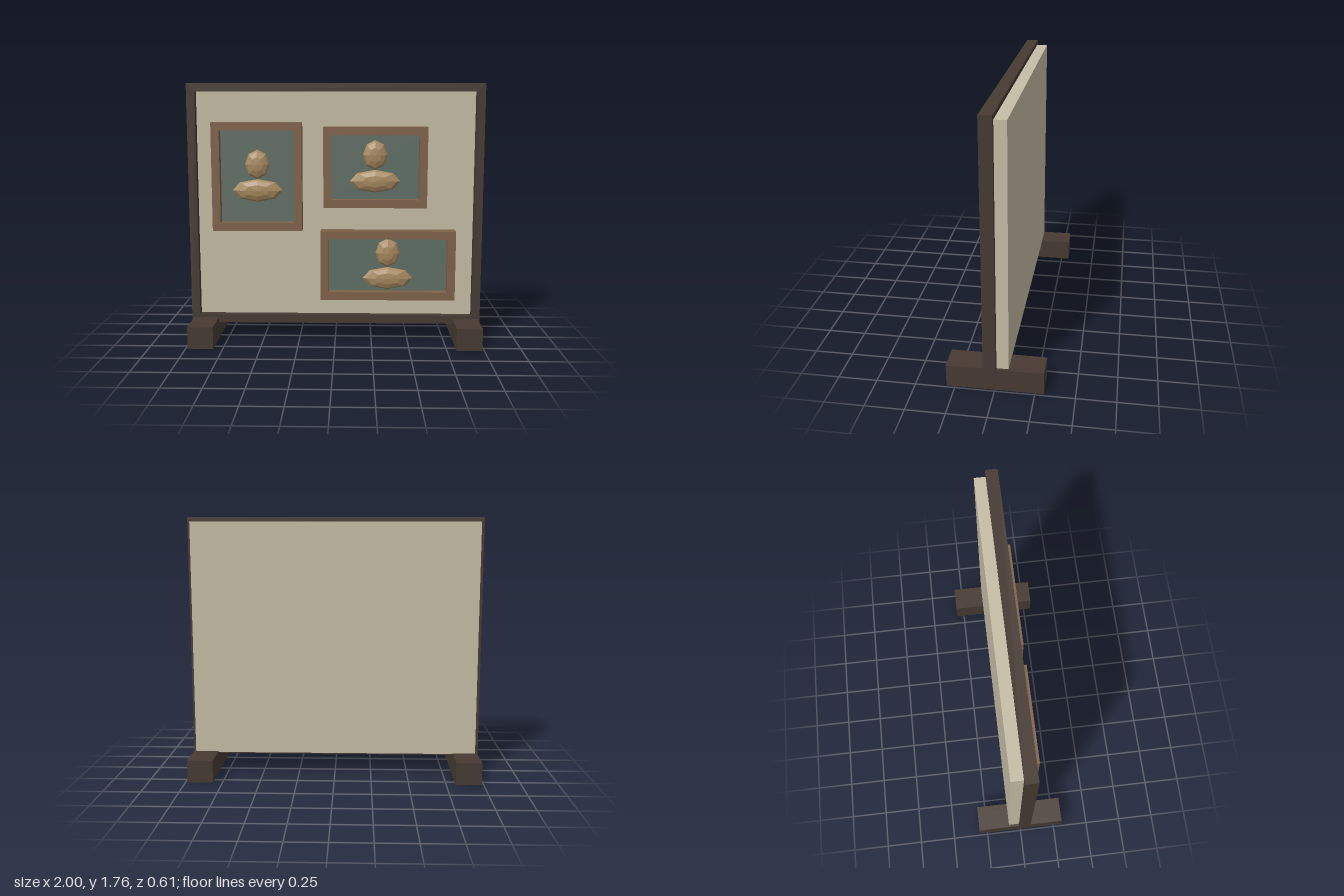
import * as THREE from 'three';

const mat = (color) => new THREE.MeshStandardMaterial({ color, flatShading: true });
const DARK = mat(0x463a32);
const BOARD = mat(0xc6bda6);
const WOOD = mat(0x7f6249);
const CANVAS = mat(0x5f6f65);
const TAN = mat(0xa88a60);

// Box given by its minimum and maximum corners
function box(name, material, [x0, y0, z0], [x1, y1, z1]) {
  const mesh = new THREE.Mesh(new THREE.BoxGeometry(x1 - x0, y1 - y0, z1 - z0), material);
  mesh.position.set((x0 + x1) / 2, (y0 + y1) / 2, (z0 + z1) / 2);
  mesh.name = name;
  return mesh;
}

// Rectangular frame with an opening, extruded from z0 to z1
function frame(name, material, x0, y0, x1, y1, bar, z0, z1) {
  const rect = (path, d) => path
    .moveTo(x0 + d, y0 + d).lineTo(x1 - d, y0 + d)
    .lineTo(x1 - d, y1 - d).lineTo(x0 + d, y1 - d).closePath();
  const shape = new THREE.Shape();
  rect(shape, 0);
  const hole = new THREE.Path();
  rect(hole, bar);
  shape.holes.push(hole);
  const geometry = new THREE.ExtrudeGeometry(shape, { depth: z1 - z0, bevelEnabled: false });
  geometry.translate(0, 0, z0);
  const mesh = new THREE.Mesh(geometry, material);
  mesh.name = name;
  return mesh;
}

// Low-poly flattened ellipsoid
function blob(name, x, y, z, rx, ry, rz) {
  const mesh = new THREE.Mesh(new THREE.SphereGeometry(1, 8, 6).rotateX(Math.PI / 2), TAN);
  mesh.scale.set(rx, ry, rz);
  mesh.position.set(x, y, z);
  mesh.name = name;
  return mesh;
}

// Framed portrait: wooden frame, recessed canvas, head and shoulders
function portrait(x0, y0, x1, y1) {
  const group = new THREE.Group();
  group.name = 'portrait';
  const bar = 0.055;
  const cx = (x0 + x1) / 2;
  const cy = (y0 + y1) / 2;
  group.add(
    frame('portraitFrame', WOOD, x0, y0, x1, y1, bar, 0.02, 0.105),
    box('canvas', CANVAS, [x0 + bar, y0 + bar, 0.02], [x1 - bar, y1 - bar, 0.045]),
    blob('head', cx, cy + 0.083, 0.055, 0.084, 0.1, 0.035),
    blob('shoulders', cx, cy - 0.095, 0.055, 0.172, 0.078, 0.035)
  );
  return group;
}

export function createModel() {
  const model = new THREE.Group();
  model.name = 'displayBoard';

  // Board and its surround
  model.add(
    box('boardPanel', BOARD, [-0.97, 0.145, -0.085], [0.97, 1.735, 0.02]),
    frame('boardFrame', DARK, -1, 0.115, 1, 1.765, 0.057, -0.01, 0.07)
  );

  // Feet
  for (const [name, x] of [['leftFoot', 0.9], ['rightFoot', -0.9]]) {
    model.add(box(name, DARK, [x - 0.086, 0, -0.305], [x + 0.086, 0.15, 0.305]));
  }

  // Portraits on the front
  model.add(
    portrait(-0.835, 0.77, -0.225, 1.505),
    portrait(-0.08, 0.93, 0.62, 1.475),
    portrait(-0.1, 0.29, 0.82, 0.77)
  );
  return model;
}
